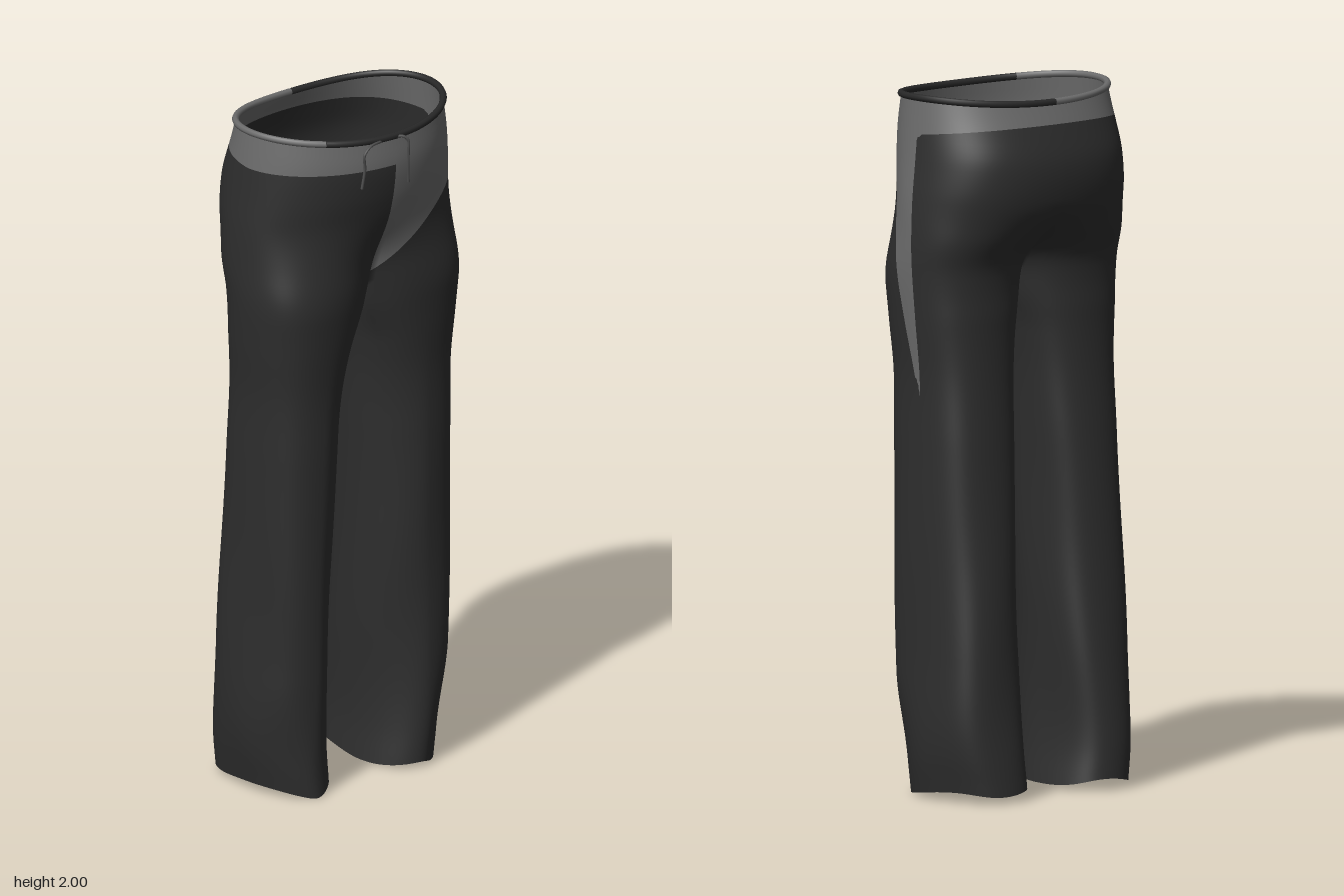
import * as THREE from 'three';
import { mergeVertices } from 'three/addons/utils/BufferGeometryUtils.js';

const { smoothstep, lerp } = THREE.MathUtils;
const CROTCH = 1.5, TOP = 1.987, OUTER = 64, INNER = 32, LOW_ROWS = 75, HIGH_ROWS = 25;
// Where the leg oval meets the centre seam
const FRONT_END = 0.82 * Math.PI, BACK_END = -0.89 * Math.PI;

// Body outline by height: outer x, inner x, front z, back z
const heights = [0, 0.1, 0.2, 0.4, 0.7, 1, 1.2, 1.35, 1.5, 1.6, 1.7, 1.8, 1.9, 1.99];
const sizes = [
  0.308, 0.075, 0.15, -0.245, 0.325, 0.085, 0.15, -0.241, 0.333, 0.088, 0.15, -0.235,
  0.333, 0.082, 0.152, -0.22, 0.332, 0.071, 0.16, -0.195, 0.332, 0.057, 0.166, -0.175,
  0.335, 0.043, 0.17, -0.162, 0.35, 0.021, 0.184, -0.16, 0.362, 0, 0.198, -0.17,
  0.362, 0, 0.204, -0.23, 0.357, 0, 0.216, -0.261, 0.346, 0, 0.238, -0.266,
  0.335, 0, 0.248, -0.243, 0.324, 0, 0.24, -0.213,
];
const outline = new THREE.CubicInterpolant(heights, sizes, 4, new Float32Array(4));

// Leg cross-section in unit size: squarish, with the front corners cut back
function legSection(angle, y) {
  const c = Math.cos(angle), s = Math.sin(angle);
  const q = lerp(0.18, 0.11, smoothstep(y, 1, 1.5));
  const cut = c < 0 ? 0.5 * (1 - smoothstep(y, 1.05, 1.45)) : 0.6 * (1 - smoothstep(y, 0.08, 0.35));
  return [c * (1 + (q - (s > 0 ? cut : 0)) * s * s), s * (1 + q * c * c)];
}

// Point on one trouser half. Columns run front centre, outer side, back centre, inner thigh.
function clothPoint(side, col, y) {
  let [xo, xi, zf, zb] = outline.evaluate(y);
  xi *= side > 0 ? 0.88 : 1.05;
  if (side > 0) xo += 0.005 * (1 - smoothstep(y, 0.6, 1.4));
  const inner = col > OUTER, j = (col - OUTER) / INNER;
  const t = inner ? 1 : 1 - (2 * col) / OUTER;
  const endAngle = t > 0 ? FRONT_END : BACK_END;
  const angle = inner ? lerp(BACK_END, FRONT_END - 2 * Math.PI, j)
    : lerp(BACK_END, FRONT_END, (t + 1) / 2);

  // Leg oval with soft folds
  const fold = 0.004 * Math.sin(3 * angle + 8 * y + side) * (1 - smoothstep(y, 0.1, 1.2));
  const rx = (xo - xi) / 2 + fold, rz = (zf - zb) / 2 + fold, cx = (xo + xi) / 2;
  const [sx, sz] = legSection(angle, y);
  const legZ = (zf + zb) / 2 + rz * sz;

  // Half hip oval, fuller at the back
  const phi = (t * Math.PI) / 2, hs = Math.sin(phi), hc = Math.cos(phi);
  const full = 0.15 + 0.1 * smoothstep(y, 1.55, 1.72) * (1 - smoothstep(y, 1.8, 1.95));
  const hipX = inner ? 0 : xo * hc;
  const hipZ = inner ? lerp(zb, zf, j) : hs > 0 ? zf * hs : -zb * hs * (1 + full * hc * hc);

  // Legs flow into the hips, sooner at the back
  const backness = inner ? 1 - j : (1 - hs) / 2;
  const w = smoothstep(y, 1.44, lerp(1.74, 1.68, backness));
  const close = smoothstep(y, 1.3, CROTCH);
  let x = lerp(cx + rx * sx, hipX, w);
  if (inner) x *= 1 - close;
  else {
    const endX = (cx + rx * legSection(endAngle, y)[0]) * (1 - w);
    x -= endX * close * Math.abs(t) ** 6;
  }
  if (Math.abs(x) < 2e-4) x = 0;

  // Dipped waistline and wavy hem
  const dip = 0.02 * hs * hs * smoothstep(y, 1.7, TOP);
  const hem = (1 - smoothstep(y, 0, 0.25)) * (0.012 + 0.008 * Math.cos(3 * angle + side) - 0.009 * Math.sin(angle));
  return new THREE.Vector3(side * x, y - dip + hem, lerp(legZ, hipZ, w));
}

function buildCloth() {
  const pos = [], index = [], cols = OUTER + INNER;
  for (const side of [1, -1]) {
    const start = pos.length / 3;
    for (let r = 0; r <= LOW_ROWS + HIGH_ROWS; r++) {
      const y = r <= LOW_ROWS ? (CROTCH * r) / LOW_ROWS
        : CROTCH + ((TOP - CROTCH) * (r - LOW_ROWS)) / HIGH_ROWS;
      for (let i = 0; i < cols; i++) pos.push(...clothPoint(side, i, y).toArray());
    }
    for (let r = 0; r < LOW_ROWS + HIGH_ROWS; r++) {
      for (let i = 0; i < (r < LOW_ROWS ? cols : OUTER); i++) {
        const a = start + r * cols + i, b = start + r * cols + ((i + 1) % cols);
        const d = a + cols, e = b + cols;
        if (side > 0) index.push(a, b, e, a, e, d);
        else index.push(a, e, b, a, d, e);
      }
    }
  }
  const g = new THREE.BufferGeometry();
  g.setAttribute('position', new THREE.Float32BufferAttribute(pos, 3));
  g.setIndex(index);
  const merged = mergeVertices(g, 1e-4);
  merged.computeVertexNormals();
  return merged;
}

// Positive where the cloth is grey
function greyField(p, side) {
  const { x, y, z } = p;
  const band = y - (1.883 + 0.1 * Math.max(0, -z));
  if (side < 0) {
    const patch = 0.05 * (1 - ((y - 1.42) / 0.1) ** 2 - ((z - 0.045) / 0.06) ** 2);
    return Math.max(band, Math.min(patch, 0.05 - Math.abs(x)));
  }
  const curve = 1.53 + 0.21 * (1 - Math.max(0, 1 - x / 0.34) ** 1.6);
  const front = Math.min(z + 0.012, y - curve);
  const edge = -0.016 + 0.101 * (Math.max(0, y - 1.13) / 0.61) ** 0.85;
  const stripe = Math.min(z + 0.012 + 0.012 * (1.87 - y), edge - z, x - 0.2, 1.9 - y, y - 1.14);
  return Math.max(band, front, stripe);
}

// Cuts every triangle along the colour edge and keeps one side of it
function cutCloth(geometry, sign) {
  const P = geometry.attributes.position, N = geometry.attributes.normal, I = geometry.index;
  const pos = [], nor = [];
  for (let k = 0; k < I.count; k += 3) {
    const tri = [0, 1, 2].map((m) => {
      const v = I.getX(k + m);
      return { p: new THREE.Vector3().fromBufferAttribute(P, v), n: new THREE.Vector3().fromBufferAttribute(N, v) };
    });
    const side = Math.sign(tri[0].p.x + tri[1].p.x + tri[2].p.x) || 1;
    for (const v of tri) v.f = sign * greyField(v.p, side) + sign * 1e-9;
    const poly = [];
    tri.forEach((a, m) => {
      const b = tri[(m + 1) % 3];
      if (a.f >= 0) poly.push(a);
      if (a.f >= 0 !== b.f >= 0) {
        const u = a.f / (a.f - b.f);
        poly.push({ p: a.p.clone().lerp(b.p, u), n: a.n.clone().lerp(b.n, u).normalize() });
      }
    });
    for (let m = 1; m + 1 < poly.length; m++) {
      for (const v of [poly[0], poly[m], poly[m + 1]]) {
        pos.push(v.p.x, v.p.y, v.p.z);
        nor.push(v.n.x, v.n.y, v.n.z);
      }
    }
  }
  const g = new THREE.BufferGeometry();
  g.setAttribute('position', new THREE.Float32BufferAttribute(pos, 3));
  g.setAttribute('normal', new THREE.Float32BufferAttribute(nor, 3));
  return g;
}

export function createModel() {
  const material = (name, color, side = THREE.FrontSide) => {
    const m = new THREE.MeshStandardMaterial({ color, side });
    m.name = name;
    return m;
  };
  const dark = material('charcoal cloth', 0x2e2e2e, THREE.DoubleSide);
  const grey = material('grey cloth', 0x6c6c6c, THREE.DoubleSide);
  const black = material('black cord', 0x282828);
  const string = material('drawstring grey', 0x505050);

  const group = new THREE.Group();
  group.name = 'trousers';
  const add = (name, geometry, mat) => {
    const mesh = new THREE.Mesh(geometry, mat);
    mesh.name = name;
    group.add(mesh);
  };
  const tube = (points, radius, steps) =>
    new THREE.TubeGeometry(new THREE.CatmullRomCurve3(points), steps, radius, 8);

  // Legs and hips
  const cloth = buildCloth();
  add('darkPanels', cutCloth(cloth, -1), dark);
  add('greyPanels', cutCloth(cloth, 1), grey);

  // Waist cord: one arc black, the other grey
  const loop = [];
  for (let i = 0; i <= OUTER; i += 2) loop.push(clothPoint(1, i, TOP));
  for (let i = OUTER - 2; i >= 0; i -= 2) loop.push(clothPoint(-1, i, TOP));
  const split = 57;
  add('waistCordBack', tube(loop.slice(32, split + 1), 0.01, 70), grey);
  add('waistCordFront', tube([...loop.slice(split, 64), ...loop.slice(0, 33)], 0.01, 110), black);

  // Drawstring ends hanging at the front
  const ends = {
    rightDrawstring: [[-0.04, 1.958, 0.232], [-0.06, 1.965, 0.248], [-0.1, 1.965, 0.258], [-0.125, 1.945, 0.26],
      [-0.12, 1.9, 0.255], [-0.125, 1.84, 0.248]],
    leftDrawstring: [[0.005, 1.958, 0.238], [0.015, 1.968, 0.255], [0.03, 1.955, 0.265], [0.034, 1.92, 0.262],
      [0.038, 1.87, 0.256], [0.045, 1.82, 0.249]],
  };
  for (const [name, pts] of Object.entries(ends)) {
    add(name, tube(pts.map((p) => new THREE.Vector3(...p)), 0.004, 30), string);
  }
  return group;
}
